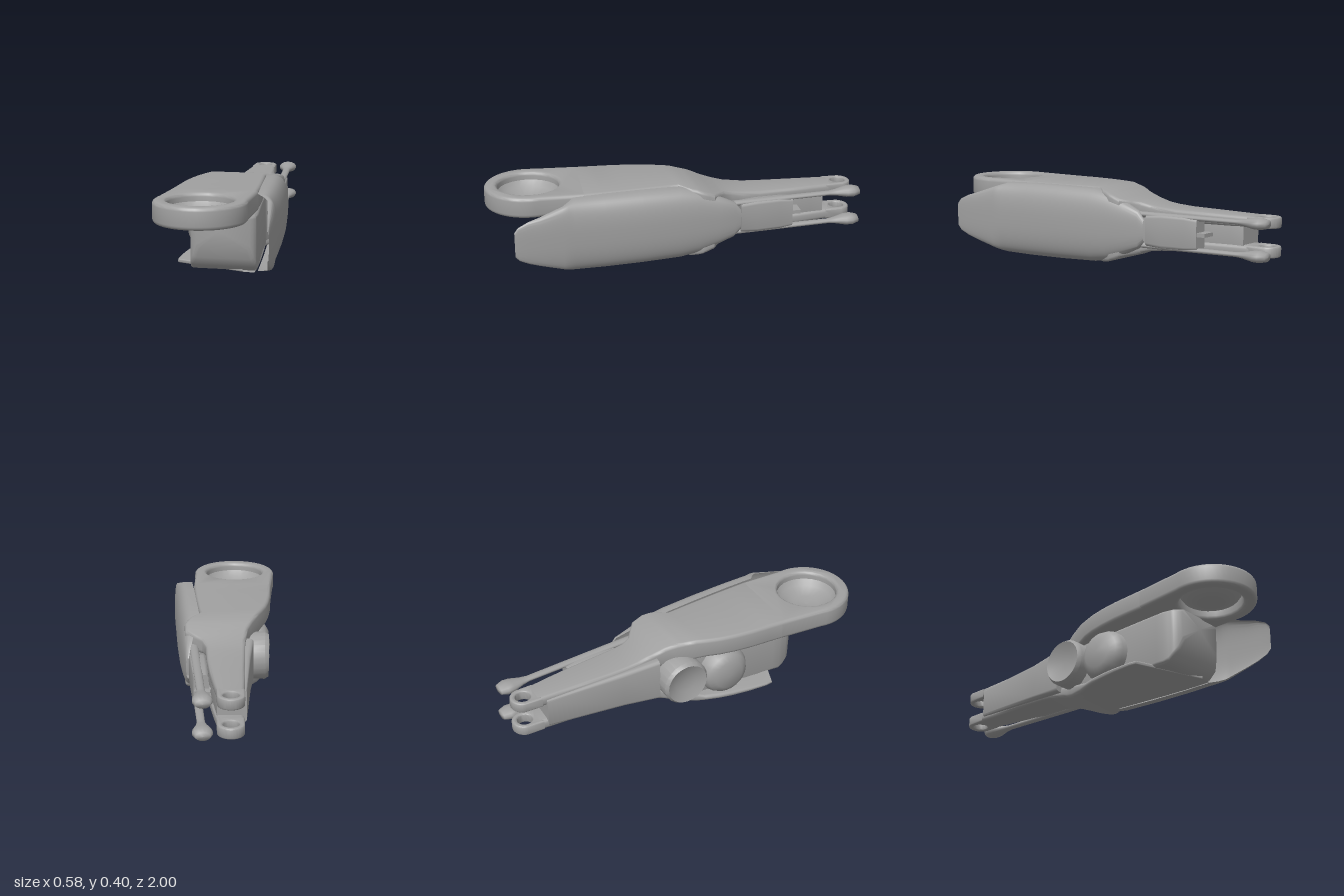
import * as THREE from 'three';
import { toCreasedNormals } from 'three/addons/utils/BufferGeometryUtils.js';

// Linear interpolation in a table of [z, value] pairs, z falling
function at(table, z) {
  if (z >= table[0][0]) return table[0][1];
  for (let i = 1; i < table.length; i++) {
    const [z1, v1] = table[i], [z0, v0] = table[i - 1];
    if (z >= z1) return v1 + (v0 - v1) * (z - z1) / (z0 - z1);
  }
  return table[table.length - 1][1];
}

// Skin over rows of [x, y, z] points, each row running the same way round
function skin(rows, crease = 0.6) {
  const n = rows[0].length, idx = [];
  for (let s = 1; s < rows.length; s++) {
    for (let i = 0; i < n - 1; i++) {
      const b = s * n + i, p = b - n;
      idx.push(p, b, p + 1, b, b + 1, p + 1);
    }
  }
  const geo = new THREE.BufferGeometry();
  geo.setAttribute('position', new THREE.Float32BufferAttribute(rows.flat(2), 3));
  geo.setIndex(idx);
  return toCreasedNormals(geo, crease);
}

// Closed rounded-rectangle section
function section(z, xl, xr, yb, yt) {
  const r = Math.min(0.018, (xr - xl) / 2, (yt - yb) / 2), pts = [];
  for (let k = 0; k < 16; k++) {
    const c = Math.floor(k / 4), a = (c - 1) * Math.PI / 2 + (k % 4) * Math.PI / 6;
    pts.push([(c < 2 ? xr - r : xl + r) + r * Math.cos(a), (c % 3 ? yt - r : yb + r) + r * Math.sin(a), z]);
  }
  return [...pts, pts[0]];
}

const vec = pts => pts.map(p => new THREE.Vector2(p[0], p[1]));
const arc = (cx, cz, r, from, to, n) => Array.from({ length: n + 1 }, (_, i) => {
  const a = from + (to - from) * i / n;
  return [cx + r * Math.cos(a), cz + r * Math.sin(a)];
});

// Flat plate seen in plan, with one round hole
function eyePlate(outline, [x, z, r], yb, yt, bevel) {
  const shape = new THREE.Shape(vec(outline));
  shape.holes.push(new THREE.Path(vec(arc(x, z, r, 0, Math.PI * 2 * 23 / 24, 23))));
  const geo = new THREE.ExtrudeGeometry(shape, {
    depth: yt - yb - 2 * bevel, bevelThickness: bevel, bevelSize: bevel, bevelOffset: -bevel, bevelSegments: 4
  });
  geo.rotateX(Math.PI / 2);
  geo.translate(0, yt - bevel, 0);
  return toCreasedNormals(geo, 0.6);
}

export function createModel() {
  const group = new THREE.Group();
  const grey = new THREE.MeshStandardMaterial({ color: 0xa0a0a0, side: THREE.DoubleSide });
  grey.name = 'grey';

  const add = (name, geo) => {
    const mesh = new THREE.Mesh(geo, grey);
    mesh.name = name;
    group.add(mesh);
    return mesh;
  };

  const CX = -0.062, MID = 0.205, TAIL = -0.068;
  const topY = [[0, 0.404], [-0.1, 0.388], [-0.2, 0.352], [-0.3, 0.326], [-0.4, 0.314], [-0.86, 0.306]];
  const innerY = [[0.05, 0.295], [-0.2, 0.26], [-0.45, 0.25], [-0.86, 0.25]];
  const leafY = [[0.4, 0.385], [0.05, 0.37], [-0.2, 0.29], [-0.45, 0.25], [-0.86, 0.25]];
  const rightX = [[0.5, 0.163], [0.3, 0.145], [0.12, 0.125], [0, 0.11], [-0.06, 0.165], [-0.12, 0.186],
    [-0.18, 0.18], [-0.22, 0.13], [-0.25, 0.09], [-0.3, 0.07], [-0.45, 0.06], [-0.62, 0.04], [-0.75, 0.02], [-0.86, 0]];
  const leftX = [[0.5, -0.272], [0.28, -0.265], [0.15, -0.25], [0.03, -0.215], [-0.06, -0.18],
    [-0.15, -0.145], [-0.25, -0.132], [-0.86, -0.132]];
  const deckZ = [0.5, 0.4, 0.3, 0.2, 0.12, 0.05, 0, -0.03, -0.06, -0.09, -0.12, -0.15, -0.18, -0.22, -0.25, -0.3,
    -0.36, -0.45, -0.62, -0.75, -0.86];

  // Upper deck, with the large front eye
  add('upperDeck', skin(deckZ.map(z => section(z, at(leftX, z), at(rightX, z), at(innerY, z), at(topY, z)))));
  add('frontEye', eyePlate([...arc(CX, 0.77, 0.229, Math.PI + 0.2, -0.2, 28), [0.163, 0.48], [-0.272, 0.48]],
    [CX, 0.77, 0.162], 0.294, 0.404, 0.02));

  // Lower deck: a thin leaf with a slanting front edge, short of the eye
  add('lowerDeck', skin([section(0.57, 0.1, 0.165, 0.006, 0.025), section(0.44, -0.262, 0.158, 0.006, 0.025),
    ...deckZ.slice(1).map(z => section(z, at(leftX, z), at(rightX, z),
      2 * MID - at(topY, z), 2 * MID - at(leafY, z)))]));

  // Fork eyes at the tail
  const tailEye = [...arc(TAIL, -0.92, 0.067, -0.2, -Math.PI + 0.2, 14), [-0.132, -0.84], [0.002, -0.84]];
  for (const y of [0.25, 0.104]) add('forkEye', eyePlate(tailEye, [TAIL, -0.92, 0.039], y, y + 0.056, 0.01));

  // Sunken dish inside the front eye
  const dish = new THREE.LatheGeometry(vec([[0.0001, 0.3], [0.07, 0.304], [0.14, 0.33], [0.175, 0.38]]), 24);
  add('eyeDish', dish).position.set(CX, 0, 0.77);

  // Core between the decks: slices across z, following the flanks
  const coreRight = [[0.63, 0.15], [0.6, 0.174], [0.5, 0.168], [0.2, 0.13], [0, 0.11], [-0.06, 0.16],
    [-0.18, 0.17], [-0.25, 0.08], [-0.3, 0.06], [-0.62, 0.03], [-0.82, 0]];
  const coreLeft = [[0.63, -0.12], [0.6, -0.155], [0.54, -0.17], [0, -0.17], [-0.15, -0.14], [-0.25, -0.125], [-0.82, -0.125]];
  const coreBottom = [[0.63, 0.13], [0.615, 0.08], [0.6, 0.05], [0.57, 0.02], [0.54, 0.008]];
  const coreSlices = [0.63, 0.615, 0.6, 0.585, 0.57, 0.54, ...deckZ.slice(0, -1), -0.82].map(z => section(z,
    at(coreLeft, z), at(coreRight, z), z > 0.5 ? at(coreBottom, z) : 2 * MID - at(topY, z) + 0.004,
    Math.min(0.3, at(topY, z) - 0.03)));
  add('core', skin([section(0.645, 0, 0, 0.22, 0.22), ...coreSlices, section(-0.82, -0.06, -0.06, MID, MID)], 0.9));

  // Curved side cover: C-shaped sections [z, outer x, inner x, bottom y, top y]
  const sections = [
    [0.87, 0.288, 0.283, 0.14, 0.27], [0.85, 0.289, 0.278, 0.115, 0.295], [0.8, 0.288, 0.268, 0.09, 0.318],
    [0.74, 0.286, 0.258, 0.07, 0.336], [0.62, 0.28, 0.235, 0.033, 0.377], [0.59, 0.278, 0.21, 0.022, 0.388],
    [0.56, 0.275, 0.175, 0.012, 0.398], [0.4, 0.262, 0.158, 0.008, 0.402],
    [0.2, 0.245, 0.137, 0.008, 0.402], [0, 0.224, 0.115, 0.012, 0.398], [-0.1, 0.21, 0.12, 0.03, 0.38],
    [-0.2, 0.196, 0.135, 0.07, 0.34], [-0.29, 0.18, 0.148, 0.11, 0.305], [-0.325, 0.17, 0.155, 0.15, 0.26]];
  add('sideCover', skin(sections.map(([z, xo, xi, yb, yt]) => Array.from({ length: 29 }, (_, i) => {
    const a = -Math.PI / 2 + Math.PI * i / 28, c = Math.max(0, Math.cos(a)), d = Math.sin(a);
    return [xi + (xo - xi) * Math.pow(c, 0.6),
      (yb + yt) / 2 + (yt - yb) / 2 * Math.sign(d) * Math.pow(Math.abs(d), 0.8), z];
  })), 0.9));

  // Joint drum and motor housing in the open flank, facing outwards
  const drum = (name, profile, y, z) => {
    const geo = new THREE.LatheGeometry(vec(profile), 24);
    geo.rotateZ(Math.PI / 2);
    add(name, toCreasedNormals(geo, 0.6)).position.set(0, y, z);
  };
  drum('jointDrum', [[0.125, 0.14], [0.125, 0.235], [0.112, 0.255], [0.06, 0.235], [0.0001, 0.23]], 0.19, -0.08);
  drum('motorHousing', [[0.138, 0.14], [0.134, 0.2], [0.115, 0.235], [0.08, 0.256], [0.0001, 0.266]], 0.16, 0.17);

  // Tapered panel hugging the tail's flank
  add('tailPanel', skin([
    section(-0.2, -0.14, -0.14, MID, MID), section(-0.2, -0.175, -0.12, 0.085, 0.325),
    section(-0.4, -0.16, -0.12, 0.1, 0.305), section(-0.82, -0.142, -0.12, 0.125, 0.285),
    section(-0.82, -0.13, -0.13, MID, MID)]));

  // Twin push rods with flattened teardrop ends
  const rodProfile = [[0.0001, 0], [0.036, 0.004], [0.05, 0.04], [0.047, 0.075], [0.028, 0.13], [0.02, 0.17],
    [0.022, 0.6], [0.022, 0.82]];
  for (const y of [0.286, 0.124]) {
    const geo = new THREE.LatheGeometry(vec(rodProfile), 14);
    geo.rotateX(Math.PI / 2);
    const rod = add('pushRod', geo);
    rod.scale.y = 0.6;
    rod.position.set(0.06, y, -1);
    rod.rotation.y = 0.095;
  }

  // Actuator block between the rods, with a small rear tab
  const block = [section(-0.33, 0.105, 0.105, MID, MID), section(-0.33, 0.07, 0.155, 0.125, 0.285),
    section(-0.42, 0.06, 0.145, 0.118, 0.292), section(-0.55, 0.05, 0.13, 0.118, 0.292),
    section(-0.62, 0.045, 0.12, 0.125, 0.285), section(-0.62, 0.085, 0.085, MID, MID)];
  add('actuatorBlock', skin(block));
  const tab = add('actuatorTab', new THREE.BoxGeometry(0.08, 0.02, 0.06));
  tab.position.set(0.075, MID, -0.635);

  return group;
}
